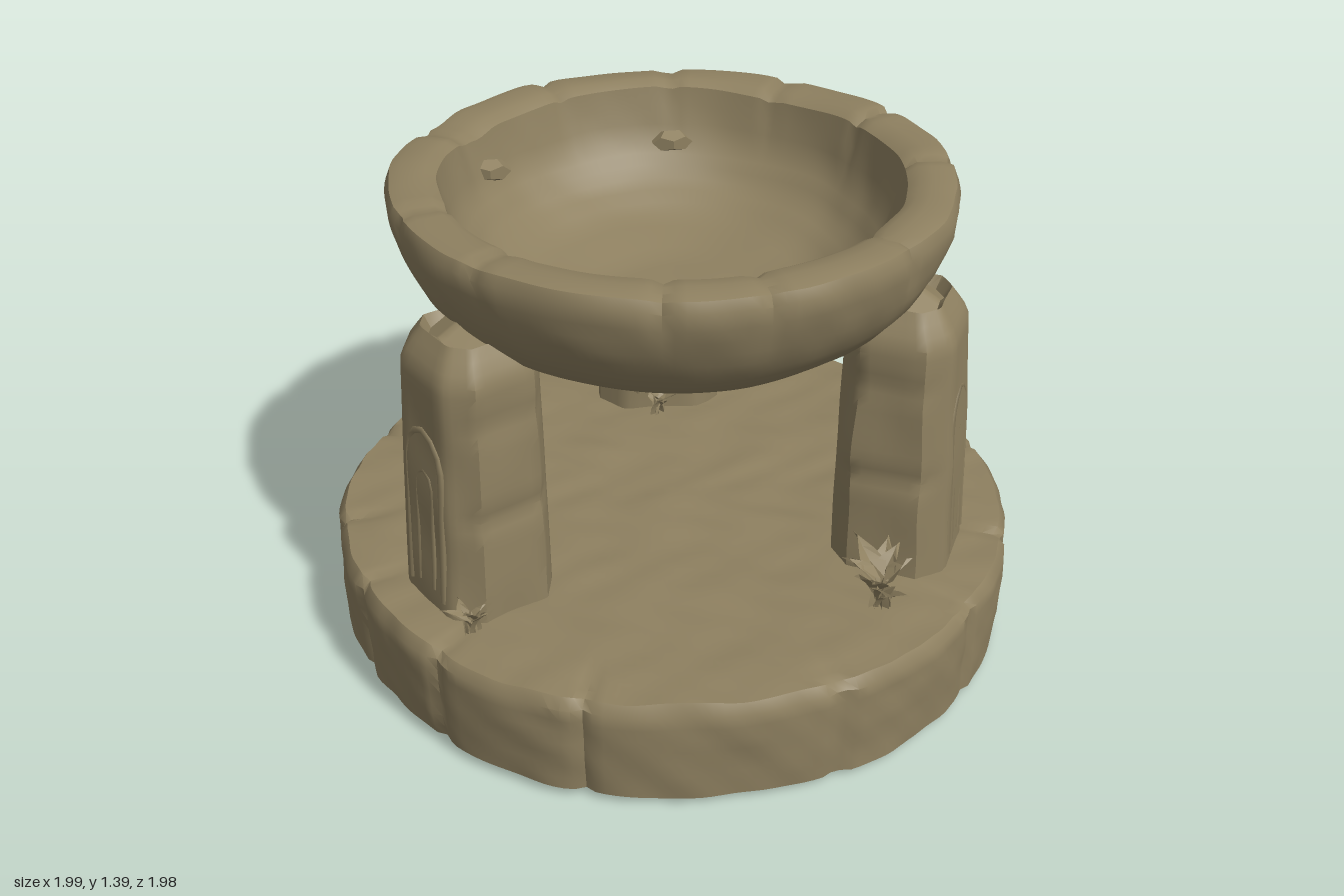
import * as THREE from 'three';
import { toCreasedNormals } from 'three/addons/utils/BufferGeometryUtils.js';

const stone = new THREE.MeshStandardMaterial({ color: 0x8e8060, side: THREE.DoubleSide });
stone.name = 'mossy stone';

let seed = 7;
const rand = () => (seed = (seed * 16807) % 2147483647) / 2147483647;
const smooth = THREE.MathUtils.smoothstep;

// Gentle lumps that depend on position only, so seams stay closed
const lump = (x, y, z, f) =>
  Math.sin(f * x + 1.7 * Math.sin(f * 0.6 * z + 1)) * Math.cos(f * z + 1.3 * Math.sin(f * 0.8 * y)) +
  0.5 * Math.sin(2.1 * f * y + f * x) * Math.cos(1.7 * f * z - f * x);

function mesh(name, geometry, parent) {
  const m = new THREE.Mesh(geometry, stone);
  m.name = name;
  parent.add(m);
  return m;
}

// Move every vertex by a rule, then keep hard edges crisp
function carve(geometry, rule, crease = 0.75) {
  const p = geometry.attributes.position;
  const v = new THREE.Vector3();
  for (let i = 0; i < p.count; i++) {
    rule(v.fromBufferAttribute(p, i));
    p.setXYZ(i, v.x, v.y, v.z);
  }
  return toCreasedNormals(geometry, crease);
}

// Lathe with extra rings between the profile points
function turned(profile, step, sides) {
  const pts = [];
  profile.forEach(([r, y], i) => {
    if (i) {
      const [r0, y0] = profile[i - 1];
      const n = Math.max(1, Math.round(Math.hypot(r - r0, y - y0) / step));
      for (let k = 1; k <= n; k++) pts.push(new THREE.Vector2(r0 + ((r - r0) * k) / n, y0 + ((y - y0) * k) / n));
    } else pts.push(new THREE.Vector2(r, y));
  });
  return new THREE.LatheGeometry(pts, sides);
}

// Depth of the joints between blocks, 0 to 1, around a ring
function joints(angles, width) {
  return (x, z) => {
    const a = Math.atan2(x, z);
    let g = 0;
    for (const j of angles) {
      const d = Math.atan2(Math.sin(a - j), Math.cos(a - j)) / width;
      g = Math.max(g, Math.exp(-d * d));
    }
    return g;
  };
}

function buildBase(root) {
  const gap = joints([-2.9, -2.45, -2.1, -1.6, -1.25, -0.85, -0.4, 0.3, 0.82, 1.2, 1.7, 2.05, 2.6], 0.02);
  const geo = turned([[0, 0.022], [0.955, 0.022], [0.975, 0.035], [0.985, 0.2], [0.985, 0.315], [0.965, 0.343], [0.86, 0.347], [0, 0.338]], 0.04, 220);
  mesh('base', carve(geo, (v) => {
    const r = Math.hypot(v.x, v.z);
    const edge = smooth(r, 0.78, 0.96);
    const g = gap(v.x, v.z);
    const k = 1.004 + edge * (0.006 * lump(v.x, v.y, v.z, 6) + 0.004 * lump(v.x, v.y, v.z, 21) - 0.016 * g);
    if (v.y > 0.33) v.y += 0.004 * lump(v.x, 0, v.z, 9) + 0.003 * lump(v.x, 0, v.z, 24) - 0.012 * g * edge;
    else if (v.y < 0.04) v.y -= 0.01 * v.x * edge;
    v.x *= k;
    v.z *= k;
  }), root);
}

function buildBowl(root) {
  const gap = joints([-2.75, -2.1, -1.35, -0.85, -0.2, 0.15, 0.75, 1.5, 2.0, 2.5, 3.0], 0.028);
  const chip = joints([-2.2], 0.1);
  const geo = turned([
    [0, 0.88], [0.2, 0.89], [0.4, 0.93], [0.53, 1.0], [0.64, 1.075], [0.705, 1.15], [0.745, 1.23], [0.768, 1.31], [0.773, 1.36],
    [0.76, 1.388], [0.73, 1.396], [0.66, 1.395], [0.63, 1.378], [0.618, 1.32], [0.59, 1.22], [0.52, 1.13], [0.41, 1.06], [0.22, 1.01], [0, 0.995],
  ], 0.045, 160);
  mesh('bowl', carve(geo, (v) => {
    const rim = smooth(v.y, 1.2, 1.36);
    const g = gap(v.x, v.z);
    const r = Math.hypot(v.x, v.z);
    const outer = smooth(r, 0.3, 0.7);
    const k = 1 + outer * (0.008 * lump(v.x, v.y, v.z, 8) + 0.004 * lump(v.x, v.y, v.z, 19) + (r > 0.68 ? -0.018 : 0.008) * g * rim);
    v.y += 0.006 * lump(v.x, v.y, v.z, 8) - rim * (0.012 * g + 0.02 * chip(v.x, v.z));
    v.x *= k;
    v.z *= k;
  }), root);

  // Worn chips stuck to the inside wall
  [[0.09, 1.225, -0.585], [-0.475, 1.26, -0.37]].forEach(([x, y, z]) => {
    const c = mesh('bowlChip', new THREE.DodecahedronGeometry(0.05), root);
    c.position.set(x, y, z);
    c.scale.set(1.3, 0.7, 0.8);
  });

  // Carved roundels on both sides
  for (const side of [-1, 1]) {
    const roundel = new THREE.Group();
    roundel.name = 'roundel';
    roundel.position.set(0.665 * side, 1.225, -0.285);
    roundel.lookAt(1.33 * side, 0.95, -0.57);
    roundel.scale.z = 0.8;
    mesh('roundelRing', new THREE.TorusGeometry(0.09, 0.02, 5, 8), roundel);
    mesh('roundelDiamond', new THREE.TorusGeometry(0.052, 0.014, 4, 4), roundel);
    mesh('roundelBoss', new THREE.OctahedronGeometry(0.025), roundel);
    root.add(roundel);
  }
}

// Raised arch outline standing on a pillar face
function arch(name, parent, half, bottom, top, zLow, zHigh, tube) {
  const zAt = (y) => zLow + ((zHigh - zLow) * (y - 0.34)) / 0.7;
  const pts = [[-half, bottom], [-half, (bottom + top) / 2], [-half * 0.85, top - half * 0.6], [0, top],
    [half * 0.85, top - half * 0.6], [half, (bottom + top) / 2], [half, bottom]]
    .map(([x, y]) => new THREE.Vector3(x, y, zAt(y)));
  mesh(name, new THREE.TubeGeometry(new THREE.CatmullRomCurve3(pts), 24, tube, 5), parent);
}

function buildPillar(root, x, z) {
  const pillar = new THREE.Group();
  pillar.name = 'pillar';
  pillar.position.set(x, 0, z);
  pillar.rotation.y = Math.atan2(x, z);
  const geo = new THREE.BoxGeometry(0.365, 0.87, 0.325, 12, 30, 10);
  mesh('pillarStone', carve(geo, (v) => {
    // Cut the four corners
    const over = Math.abs(v.x) / 0.1825 + Math.abs(v.z) / 0.1625 - 1.58;
    if (over > 0) {
      v.x -= Math.sign(v.x) * over * 0.09;
      v.z -= Math.sign(v.z) * over * 0.08;
    }
    // Taper upward, slope the shoulders and notch the sides
    const t = v.y / 0.87 + 0.5;
    const y = 0.3 + t * 0.87;
    const notch = Math.exp(-(((y - 0.65) / 0.03) ** 2)) + 0.6 * Math.exp(-(((y - 0.93) / 0.03) ** 2));
    const side = smooth(Math.abs(v.x), 0.11, 0.17);
    const k = (1.04 - 0.13 * t) * (1 - 0.45 * smooth(t, 0.85, 1.04));
    const l = lump(v.x + x, y, v.z + z, 9);
    const drop = t > 0.99 ? 0.04 * (Math.abs(v.x) / 0.18 + Math.abs(v.z) / 0.16) : 0;
    v.x = v.x * (k - 0.06 * notch * side) + 0.005 * l;
    v.z = v.z * k + 0.004 * l - 0.015 * t;
    v.y = y - drop;
  }), pillar);
  arch('outerArch', pillar, 0.08, 0.38, 0.88, 0.161, 0.128, 0.014);
  arch('innerArch', pillar, 0.035, 0.4, 0.76, 0.163, 0.13, 0.01);
  arch('backArch', pillar, 0.07, 0.4, 0.6, -0.164, -0.164, 0.01);
  root.add(pillar);
}

// Stem that widens to a pointed leaf and curls over
function leaf(length, width, curl) {
  const geo = new THREE.PlaneGeometry(1, 1, 2, 6);
  return carve(geo, (v) => {
    const t = v.y + 0.5;
    const w = t < 0.5 ? 0.25 : Math.max(0, 1 - Math.abs(t - 0.7) / 0.3);
    v.set(v.x * width * w, length * t * (1 - 0.35 * curl * t), length * curl * t * t - Math.abs(v.x) * width * 0.5);
  }, 0.3);
}

function buildPlant(root, x, y, z, count, size, tilt = 0) {
  const plant = new THREE.Group();
  plant.name = 'plant';
  plant.position.set(x, y, z);
  plant.rotation.set(tilt, Math.atan2(x, z), 0, 'YXZ');
  for (let i = 0; i < count; i++) {
    const l = size * (0.65 + 0.5 * rand());
    const m = mesh('leaf', leaf(l, l * 0.4, 0.3 + 0.5 * rand()), plant);
    m.rotation.y = ((i + 0.6 * rand()) / count) * Math.PI * 2;
    m.position.set(0.03 * (rand() - 0.5), 0, 0.03 * (rand() - 0.5));
  }
  root.add(plant);
}

export function createModel() {
  const root = new THREE.Group();
  root.name = 'stoneBasin';
  buildBase(root);
  for (const [x, z] of [[-0.6, 0.335], [0.595, 0.335], [0.05, -0.655]]) buildPillar(root, x, z);
  buildBowl(root);

  // Sprigs around the pillar feet
  buildPlant(root, 0.46, 0.335, 0.64, 9, 0.2);
  buildPlant(root, -0.64, 0.335, 0.57, 5, 0.13);
  buildPlant(root, -0.22, 0.335, -0.83, 6, 0.17);
  buildPlant(root, 0.2, 0.335, -0.8, 6, 0.15);
  buildPlant(root, 0.02, 0.335, -0.45, 5, 0.14);
  buildPlant(root, 0.56, 0.335, 0.09, 5, 0.14);
  // Sprigs growing out of the base wall
  buildPlant(root, 0.65, 0.1, -0.72, 8, 0.18, 1.2);
  buildPlant(root, 0.71, 0.14, -0.65, 6, 0.2, 1.2);
  return root;
}
